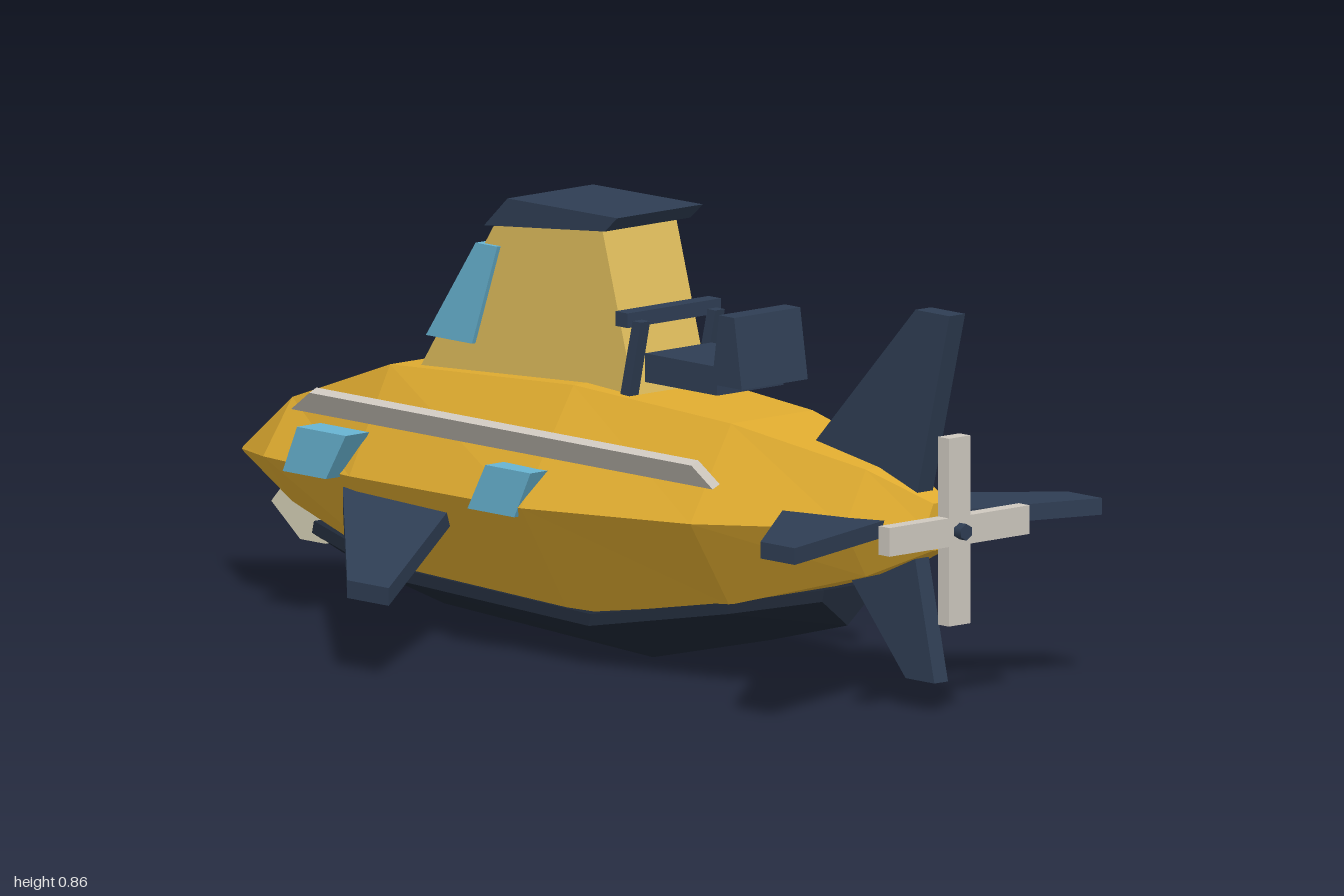
import * as THREE from 'three';

const mat = (name, color) => {
  const m = new THREE.MeshStandardMaterial({ color });
  m.name = name;
  return m;
};

// Flat-sided skin over closed rings of [x, y] (counter-clockwise from +z), ordered by rising z.
function loft(rings) {
  const pos = [];
  const n = rings[0].pts.length;
  const put = (i, j) => pos.push(...rings[i].pts[j % n], rings[i].z);
  for (let i = 0; i < rings.length - 1; i++) {
    for (let j = 0; j < n; j++) {
      put(i, j); put(i, j + 1); put(i + 1, j + 1);
      put(i, j); put(i + 1, j + 1); put(i + 1, j);
    }
  }
  const last = rings.length - 1;
  for (let j = 1; j < n - 1; j++) {
    put(0, 0); put(0, j + 1); put(0, j);
    put(last, 0); put(last, j); put(last, j + 1);
  }
  const g = new THREE.BufferGeometry();
  g.setAttribute('position', new THREE.Float32BufferAttribute(pos, 3));
  g.computeVertexNormals();
  return g;
}

function extrude(points, depth) {
  const shape = new THREE.Shape(points.map(([a, b]) => new THREE.Vector2(a, b)));
  return new THREE.ExtrudeGeometry(shape, { depth, bevelEnabled: false }).translate(0, 0, -depth / 2);
}
// Outline in [z, y], thickness along x.
const profile = (points, width, x = 0) => extrude(points, width).rotateY(-Math.PI / 2).translate(x, 0, 0);
// Outline in [x, z], thickness along y.
const plan = (points, height, y) => extrude(points, height).rotateX(Math.PI / 2).translate(0, y, 0);

// Moves every vertex by a rule, then refreshes the normals.
function bend(g, rule) {
  const p = g.attributes.position;
  const v = new THREE.Vector3();
  for (let i = 0; i < p.count; i++) {
    v.fromBufferAttribute(p, i);
    rule(v);
    p.setXYZ(i, v.x, v.y, v.z);
  }
  g.computeVertexNormals();
  return g;
}

export function createModel() {
  const yellow = mat('hull yellow', 0xe0ac30);
  const paleYellow = mat('tower yellow', 0xdfbd5c);
  const navy = mat('navy', 0x2f3e54);
  const darkNavy = mat('keel dark navy', 0x1f2836);
  const cyan = mat('window cyan', 0x68b4d2);
  const grey = mat('light grey', 0xcfc9c0);
  const cream = mat('lamp cream', 0xd8d2b8);

  const model = new THREE.Group();
  const add = (name, geometry, material) => {
    const m = new THREE.Mesh(geometry, material);
    m.name = name;
    model.add(m);
    return m;
  };

  // Six-sided hull: z, top y, top half width, widest y, widest half width, bottom y, bottom half width
  const hull = [
    [-1, 0.26, 0.006, 0.255, 0.01, 0.25, 0.006],
    [-0.79, 0.39, 0.075, 0.285, 0.15, 0.19, 0.075],
    [-0.47, 0.5, 0.12, 0.298, 0.225, 0.115, 0.12],
    [0.05, 0.53, 0.13, 0.31, 0.265, 0.095, 0.142],
    [0.46, 0.507, 0.105, 0.327, 0.21, 0.16, 0.11],
    [0.78, 0.455, 0.055, 0.348, 0.11, 0.25, 0.055],
    [0.93, 0.405, 0.02, 0.36, 0.04, 0.315, 0.02],
  ];
  add('hull', loft(hull.map(([z, yt, t, ym, w, yb, b]) => ({
    z, pts: [[w, ym], [t, yt], [-t, yt], [-w, ym], [-b, yb], [b, yb]],
  }))), yellow);

  // V-shaped keel: z, edge y, half width, bottom y
  const keel = [
    [-0.73, 0.16, 0.075, 0.09],
    [-0.45, 0.115, 0.13, 0.03],
    [0.13, 0.105, 0.16, 0.003],
    [0.46, 0.165, 0.11, 0.08],
    [0.67, 0.21, 0.06, 0.135],
  ];
  add('keel', loft(keel.map(([z, y, w, yb]) => ({
    z, pts: [[w + 0.005, y - 0.022], [w, y], [-w, y], [-w - 0.005, y - 0.022], [0, yb]],
  }))), darkNavy);

  // Tower, windscreen and roof
  add('tower', profile([[0.19, 0.49], [0.09, 0.835], [-0.2, 0.81], [-0.42, 0.49]], 0.19), paleYellow);
  add('windscreen', profile([[-0.19, 0.76], [-0.25, 0.76], [-0.388, 0.565], [-0.26, 0.565]], 0.208), cyan);
  add('roof', profile([[0.15, 0.86], [-0.155, 0.858], [-0.22, 0.798], [0.115, 0.83]], 0.22), navy);

  // Rear deck seat and control frame
  add('seatCushion', profile([[0.2, 0.55], [0.4, 0.55], [0.4, 0.605], [0.2, 0.605]], 0.17), navy);
  add('seatBack', profile([[0.468, 0.57], [0.447, 0.705], [0.405, 0.705], [0.385, 0.57]], 0.17), navy);
  for (const s of [1, -1]) {
    add('controlPost', profile([[0.155, 0.52], [0.18, 0.52], [0.213, 0.668], [0.19, 0.668]], 0.024, s * 0.096), navy);
  }
  add('controlBar', new THREE.BoxGeometry(0.24, 0.028, 0.034).translate(0, 0.67, 0.172), navy);

  // Upright tail fins
  add('upperTailFin', profile([[0.975, 0.77], [0.88, 0.77], [0.6, 0.48], [0.7, 0.38], [0.875, 0.38]], 0.04), navy);
  add('lowerTailFin', profile([[0.93, 0.06], [0.85, 0.06], [0.68, 0.25], [0.75, 0.32], [0.87, 0.32]], 0.035), navy);

  for (const s of [1, -1]) {
    // Level tail fins
    add('sideTailFin', plan([[s * 0.05, 0.57], [s * 0.14, 0.64], [s * 0.395, 0.855], [s * 0.395, 0.95],
      [s * 0.08, 0.85], [s * 0.02, 0.84]], 0.032, 0.352), navy);

    // Drooping dive wings
    const wing = plan([[s * 0.2, -0.515], [s * 0.545, -0.13], [s * 0.545, -0.015], [s * 0.2, -0.215]], 0.034, 0.252);
    add('diveWing', bend(wing, (v) => { v.y -= 0.25 * (Math.abs(v.x) - 0.2); }), navy);

    // Handrails leaning outward
    const rail = profile([[0.54, 0.41], [0.51, 0.455], [-0.55, 0.455], [-0.63, 0.41]], 0.018, s * 0.231);
    add('sideRail', bend(rail, (v) => {
      const outer = Math.abs(v.x) > 0.231;
      v.x += s * 0.6 * (v.y - 0.433);
      v.y += outer ? -0.004 : 0.004;
    }), grey);

    // Slanted side windows
    add('middleWindow', profile([[0.075, 0.38], [-0.05, 0.38], [-0.1, 0.29], [0.03, 0.29]], 0.05, s * 0.239), cyan);
    add('forwardWindow', profile([[-0.455, 0.38], [-0.59, 0.38], [-0.63, 0.29], [-0.51, 0.29]], 0.06, s * 0.218), cyan);
  }

  // Lamp under the nose
  add('noseLamp', profile([[-0.72, 0.115], [-0.79, 0.115], [-0.87, 0.178], [-0.84, 0.21], [-0.72, 0.21]], 0.11), cream);

  // Four-bladed propeller
  const propeller = new THREE.Group();
  propeller.name = 'propeller';
  propeller.position.set(0, 0.357, 0.966);
  for (let i = 0; i < 4; i++) {
    const blade = new THREE.Mesh(new THREE.BoxGeometry(0.055, 0.18, 0.03).translate(0, 0.09, 0), grey);
    blade.name = 'propellerBlade';
    blade.rotation.z = i * Math.PI / 2;
    propeller.add(blade);
  }
  const hub = new THREE.Mesh(new THREE.CylinderGeometry(0.016, 0.016, 0.1, 6).rotateX(Math.PI / 2), navy);
  hub.name = 'propellerHub';
  hub.position.z = -0.016;
  propeller.add(hub);
  model.add(propeller);

  return model;
}
